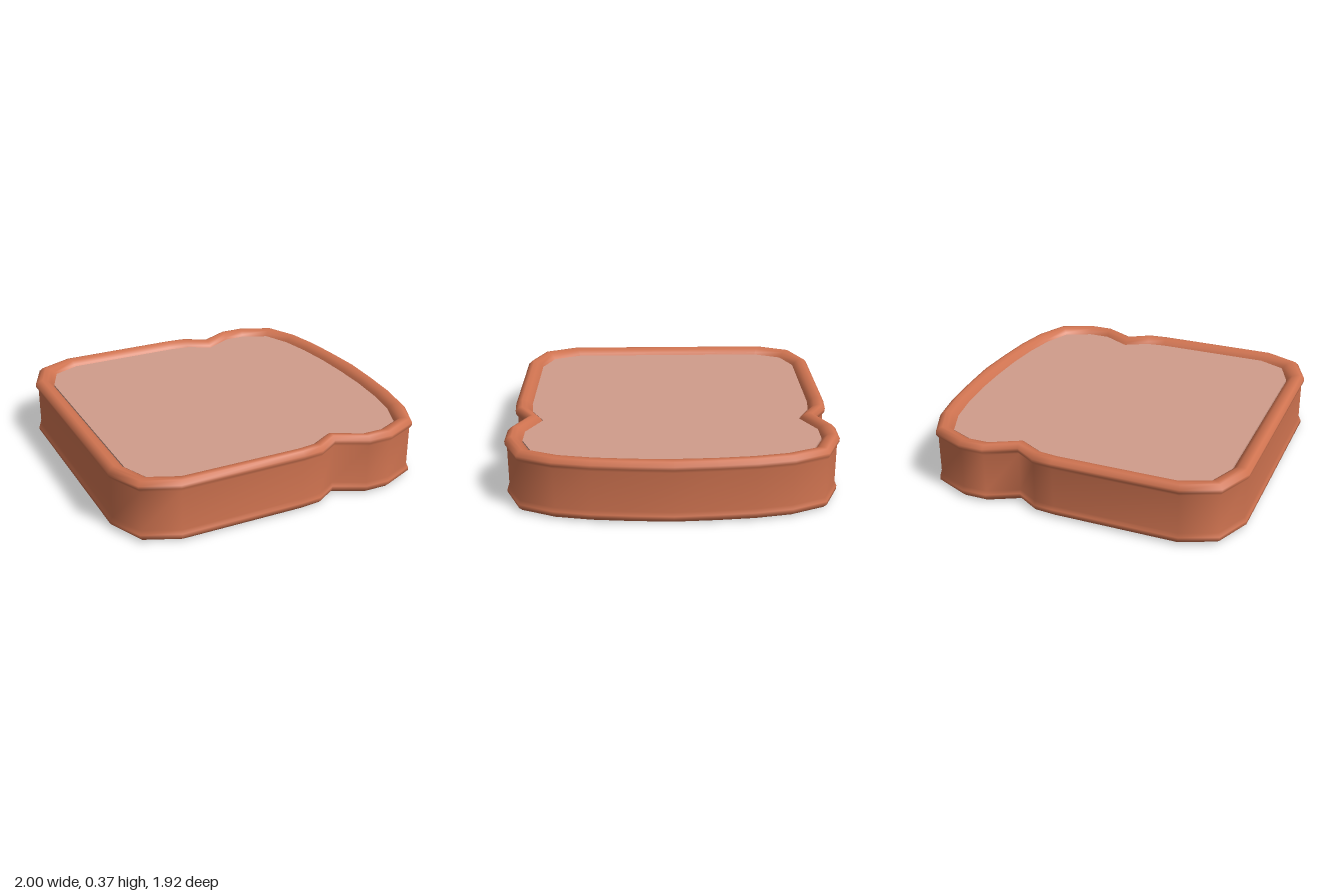
import * as THREE from 'three';

// Half outline of the slice: outer x, outer z, inner x, inner z
const half = [
  [-1, 0.66, -0.89, 0.62], [-0.91, 0.87, -0.82, 0.79], [-0.70, 0.96, -0.66, 0.86],
  [0.05, 0.96, 0.04, 0.86], [0.17, 0.95, 0.16, 0.845], [0.30, 0.87, 0.30, 0.77],
  [0.48, 0.96, 0.47, 0.86], [0.63, 0.96, 0.60, 0.86], [0.835, 0.87, 0.76, 0.79],
  [0.925, 0.67, 0.83, 0.62], [0.965, 0.46, 0.865, 0.43], [0.985, 0.24, 0.885, 0.22],
  [1, 0, 0.89, 0],
];
const outline = [
  ...half,
  ...half.slice(0, -1).reverse().map(([ox, oz, ix, iz]) => [ox, -oz, ix, -iz]),
];

// Crust section, upper half: share of the way from outer to inner line, height
const HEIGHT = 0.37;
const upper = [
  [0.13, 0.305], [0.01, 0.325], [0, 0.345], [0.2, 0.366], [0.38, 0.37],
  [0.65, 0.363], [0.88, 0.345], [1.03, 0.315],
];
const section = [...upper.map(([t, y]) => [t, HEIGHT - y]).reverse(), ...upper];

// Sweep the section round the outline
function crustGeometry() {
  const position = [], index = [];
  const n = outline.length, m = section.length;
  outline.forEach(([ox, oz, ix, iz], i) => {
    section.forEach(([t, y], j) => {
      position.push(ox + (ix - ox) * t, y, oz + (iz - oz) * t);
      if (j === m - 1) return;
      const a = i * m + j, b = ((i + 1) % n) * m + j;
      index.push(a, b, b + 1, a, b + 1, a + 1);
    });
  });
  const geometry = new THREE.BufferGeometry();
  geometry.setAttribute('position', new THREE.Float32BufferAttribute(position, 3));
  geometry.setIndex(index);
  geometry.computeVertexNormals();
  return geometry;
}

// Flat filling, a little below the crust rim on both faces
function crumbGeometry() {
  const shape = new THREE.Shape(outline.map(([, , x, z]) => new THREE.Vector2(x, z)));
  const geometry = new THREE.ExtrudeGeometry(shape, { depth: 0.30, bevelEnabled: false });
  geometry.rotateX(Math.PI / 2);
  geometry.translate(0, HEIGHT / 2 + 0.15, 0);
  return geometry;
}

export function createModel() {
  const crustBrown = new THREE.MeshStandardMaterial({ color: 0xcf7350, side: THREE.DoubleSide });
  crustBrown.name = 'crust brown';
  const crumbPink = new THREE.MeshStandardMaterial({ color: 0xd09c8b });
  crumbPink.name = 'crumb pink';

  const bread = new THREE.Group();
  bread.name = 'breadSlice';
  const crust = new THREE.Mesh(crustGeometry(), crustBrown);
  crust.name = 'crust';
  const crumb = new THREE.Mesh(crumbGeometry(), crumbPink);
  crumb.name = 'crumb';
  bread.add(crust, crumb);
  return bread;
}
